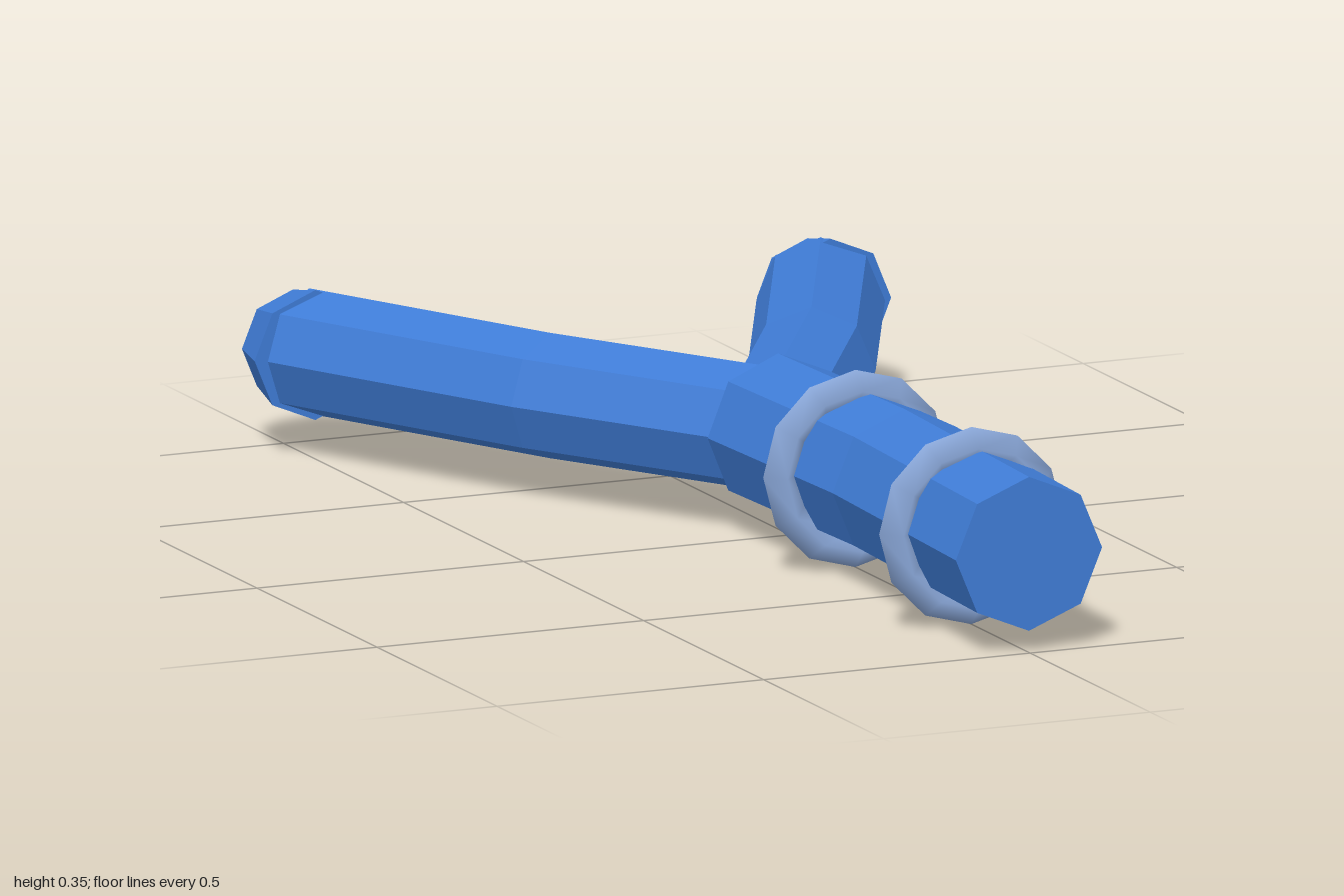
import * as THREE from 'three';

const AXIS_Y = 0.178;

// Flat-faced normals
function faceted(geometry) {
  const flat = geometry.toNonIndexed();
  flat.computeVertexNormals();
  return flat;
}

// Eight-sided capped limb swept along three [x, z] points at constant height
function limbGeometry(points, radius) {
  const geometry = new THREE.CylinderGeometry(radius, radius, 1, 8, points.length - 1);
  const path = points.map(([x, z]) => new THREE.Vector3(x, AXIS_Y, z));
  const last = path.length - 1;
  const up = new THREE.Vector3(0, 1, 0);
  const pos = geometry.attributes.position;
  for (let i = 0; i < pos.count; i++) {
    const row = Math.round((pos.getY(i) + 0.5) * last);
    const forward = path[Math.min(row + 1, last)].clone()
      .sub(path[Math.max(row - 1, 0)]).normalize();
    const side = forward.clone().cross(up);
    const p = path[row].clone()
      .addScaledVector(side, pos.getX(i))
      .addScaledVector(up, pos.getZ(i));
    pos.setXYZ(i, p.x, p.y, p.z);
  }
  return faceted(geometry);
}

export function createModel() {
  const model = new THREE.Group();
  model.name = 'forkedStick';

  const blue = new THREE.MeshStandardMaterial({ color: 0x3f7cd6 });
  blue.name = 'blue';
  const paleBlue = new THREE.MeshStandardMaterial({ color: 0x8caadc });
  paleBlue.name = 'pale blue';

  const add = (name, geometry, material) => {
    const mesh = new THREE.Mesh(geometry, material);
    mesh.name = name;
    model.add(mesh);
    return mesh;
  };

  // Slightly bowed handle
  add('handle', limbGeometry([[0, -0.05], [0.021, 0.43], [0, 0.995]], 0.135), blue);

  // Forked arms with tapered tips
  for (const [label, s] of [['left', 1], ['right', -1]]) {
    add(label + 'Arm', limbGeometry([[0, -0.05], [s * 0.245, -0.455], [s * 0.48, -0.938]], 0.11), blue);
    const tip = new THREE.CylinderGeometry(0.095, 0.114, 0.095, 8).rotateX(-Math.PI / 2);
    add(label + 'Tip', faceted(tip), blue).position.set(s * 0.483, AXIS_Y, -0.9525);
  }

  // Binding rings around the handle
  const ring = new THREE.TorusGeometry(0.141, 0.032, 4, 12);
  for (const [name, z] of [['innerRing', 0.272], ['outerRing', 0.755]]) {
    add(name, ring, paleBlue).position.set(0, AXIS_Y, z);
  }

  return model;
}
